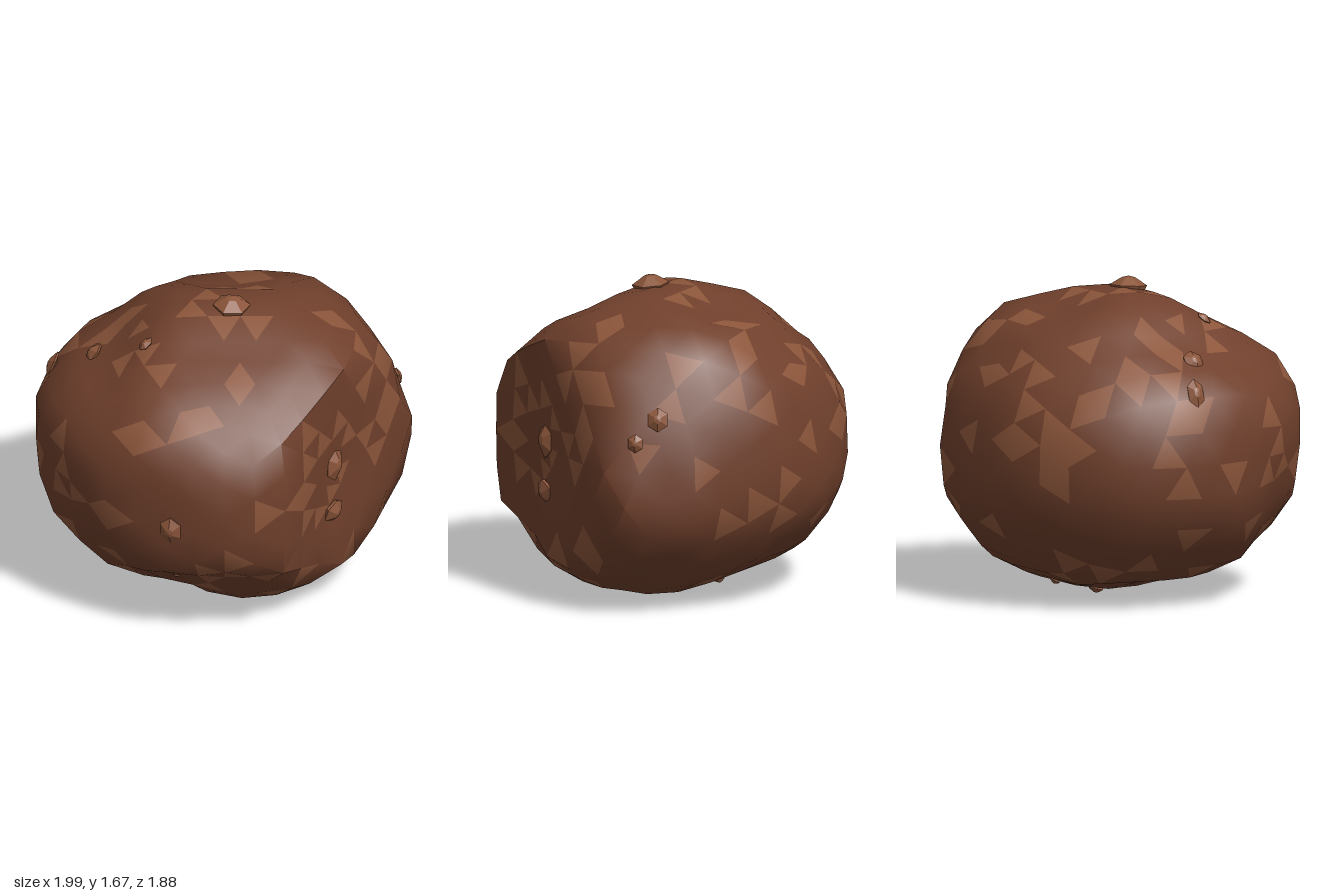
import * as THREE from 'three';
import { toCreasedNormals } from 'three/addons/utils/BufferGeometryUtils.js';

const CY = 0.8; // height of the rock's middle

// Outlines of the rock: [x, y], [z, y] and [x, z]
const frontOutline = [[0.1, 1.62], [0.28, 1.6], [0.7, 1.46], [0.82, 1.33], [0.91, 1.15], [0.97, 0.9], [1.03, 0.7],
  [0.98, 0.52], [0.89, 0.33], [0.7, 0.17], [0.52, 0.04], [0.1, -0.01], [-0.1, 0.03], [-0.33, 0.12], [-0.57, 0.13],
  [-0.7, 0.23], [-0.85, 0.38], [-0.97, 0.5], [-1.01, 0.88], [-0.97, 1.1], [-0.92, 1.2], [-0.82, 1.25],
  [-0.6, 1.37], [-0.37, 1.55], [-0.15, 1.62]];
const sideOutline = [[0, 1.63], [-0.2, 1.6], [-0.4, 1.52], [-0.6, 1.49], [-0.7, 1.35], [-0.85, 1.18], [-0.89, 1],
  [-0.93, 0.8], [-0.96, 0.5], [-0.85, 0.4], [-0.66, 0.2], [-0.35, 0.06], [0, -0.01], [0.3, -0.01], [0.45, 0.05],
  [0.62, 0.2], [0.73, 0.34], [0.86, 0.42], [0.95, 0.71], [0.93, 1], [0.8, 1.18], [0.65, 1.32], [0.5, 1.42],
  [0.3, 1.5], [0.15, 1.59]];
const topOutline = [[-0.05, -0.95], [0.41, -0.91], [0.53, -0.76], [0.78, -0.65], [0.84, -0.51], [1.05, -0.26],
  [0.82, 0.06], [0.6, 0.42], [0.33, 0.84], [0.2, 0.9], [-0.03, 0.94], [-0.2, 0.9], [-0.43, 0.8], [-0.65, 0.72],
  [-0.83, 0.55], [-0.92, 0.35], [-0.98, 0.1], [-1.01, -0.13], [-0.95, -0.36], [-0.85, -0.57], [-0.7, -0.71],
  [-0.5, -0.83], [-0.26, -0.92]];

// Distance along (a, b) from the middle to the outline
function reach(outline, a, b, cy) {
  let best = Infinity;
  outline.forEach(([px, py], i) => {
    const [qx, qy] = outline[(i + 1) % outline.length];
    const ex = qx - px, ey = qy - py, den = a * ey - b * ex;
    if (Math.abs(den) < 1e-9) return;
    const t = (px * ey - (py - cy) * ex) / den;
    const s = (px * b - (py - cy) * a) / den;
    if (t > 0 && s >= -1e-6 && s <= 1 + 1e-6) best = Math.min(best, t);
  });
  return best;
}

// Local swellings and dents: direction, height, tightness
const spot = (x, y, z, height, tightness) => ({ dir: new THREE.Vector3(x, y, z).normalize(), height, tightness });
const swellings = [spot(1, -0.12, -0.26, 0.1, 14), spot(0.45, 0.65, -0.5, 0.06, 14)];
const dents = [
  spot(0.78, 0.3, -0.48, -0.08, 26),
  spot(0.06, 0.92, -0.53, -0.04, 30),
  spot(-0.83, -0.3, 0.56, -0.09, 25),
  spot(-0.25, -0.9, 0.35, -0.08, 30),
  spot(-0.48, 0.55, -0.63, -0.05, 15),
  spot(0.83, 0, 0.55, -0.035, 16),
  spot(-0.68, 0.55, 0.42, -0.08, 20),
  spot(-0.41, -0.64, 0.63, -0.08, 28),
  spot(0.59, -0.46, 0.64, -0.06, 25),
  spot(0.4, 0.42, 0.66, -0.03, 35),
];
const swell = (spots, d) =>
  spots.reduce((sum, s) => sum + s.height * Math.exp(s.tightness * (d.dot(s.dir) - 1)), 0);

// Radius of the rock: a bumpy ellipsoid trimmed by the three outlines, then dented
function radius(d) {
  let r = 1.03 / Math.hypot(d.x, d.y / 0.83, d.z / 0.95) + swell(swellings, d);
  r += 0.012 * Math.sin(7 * d.x + 3 * d.y) * Math.sin(6 * d.z - 4 * d.y + 1);
  r = Math.min(r, reach(frontOutline, d.x, d.y, CY), reach(sideOutline, d.z, d.y, CY),
    reach(topOutline, d.x, d.z, 0));
  return r + swell(dents, d);
}

function surfacePoint(d) {
  const p = d.clone().multiplyScalar(radius(d));
  p.y += CY;
  return p;
}

function seeded(seed) {
  return () => {
    seed = (seed * 16807) % 2147483647;
    return seed / 2147483647;
  };
}

// Copies the chosen triangles into their own geometry
function pickFaces(source, keep) {
  const geometry = new THREE.BufferGeometry();
  for (const name of ['position', 'normal']) {
    const from = source.attributes[name].array;
    const to = [];
    keep.forEach((f) => to.push(...from.slice(f * 9, f * 9 + 9)));
    geometry.setAttribute(name, new THREE.Float32BufferAttribute(to, 3));
  }
  return geometry;
}

export function createModel() {
  const model = new THREE.Group();
  model.name = 'rock';
  const crustMaterial = new THREE.MeshStandardMaterial({ color: 0x70402c });
  const patchMaterial = new THREE.MeshStandardMaterial({ color: 0x8b553a });
  const pebbleMaterial = new THREE.MeshStandardMaterial({ color: 0x8b553a, flatShading: true });

  // Body: a subdivided ball pushed out to the rock's radius
  let body = new THREE.IcosahedronGeometry(1, 5);
  const pos = body.attributes.position;
  const d = new THREE.Vector3();
  for (let i = 0; i < pos.count; i++) {
    const p = surfacePoint(d.fromBufferAttribute(pos, i).normalize());
    pos.setXYZ(i, p.x, p.y, p.z);
  }
  body = toCreasedNormals(body, 0.9);

  // Some faces form lighter patches
  const random = seeded(4217);
  const dark = [], light = [];
  for (let f = 0; f < pos.count / 3; f++) (random() < 0.2 ? light : dark).push(f);
  const crust = new THREE.Mesh(pickFaces(body, dark), crustMaterial);
  crust.name = 'crust';
  const patches = new THREE.Mesh(pickFaces(body, light), patchMaterial);
  patches.name = 'lightPatches';
  model.add(crust, patches);

  // Pebbles half sunk in the surface: place, width and height along the surface
  const pebbles = [
    [0.04, 1.6, 0.06, 0.1, 0.1],
    [0.6, 0.84, 0.4, 0.075, 0.1],
    [0.59, 0.55, 0.4, 0.075, 0.075],
    [-0.28, 0.7, 0.85, 0.065, 0.08],
    [-0.28, 0.29, 0.75, 0.03, 0.03],
    [0.78, 1.07, -0.41, 0.06, 0.065],
    [0.89, 0.96, -0.34, 0.045, 0.05],
    [-0.91, 1.18, -0.1, 0.05, 0.08],
    [-0.69, 1.31, 0.02, 0.06, 0.065],
    [-0.41, 1.48, 0.25, 0.035, 0.045],
    [-0.03, 0.03, -0.18, 0.04, 0.04],
    [0.07, 0.08, -0.37, 0.03, 0.03],
  ];
  const group = new THREE.Group();
  group.name = 'pebbles';
  const profile = [[0, -0.8], [0.9, -0.3], [1, 0.1], [0.35, 0.85], [0, 1]].map(([r, y]) => new THREE.Vector2(r, y));
  const stone = new THREE.LatheGeometry(profile, 6).rotateX(Math.PI / 2);
  pebbles.forEach(([x, y, z, w, h], i) => {
    const dir = new THREE.Vector3(x, y - CY, z).normalize();
    const pebble = new THREE.Mesh(stone, pebbleMaterial);
    pebble.name = `pebble${i + 1}`;
    pebble.position.copy(surfacePoint(dir));
    pebble.lookAt(pebble.position.clone().add(dir));
    pebble.scale.set(w, h, w * 0.55);
    group.add(pebble);
  });
  model.add(group);
  return model;
}
